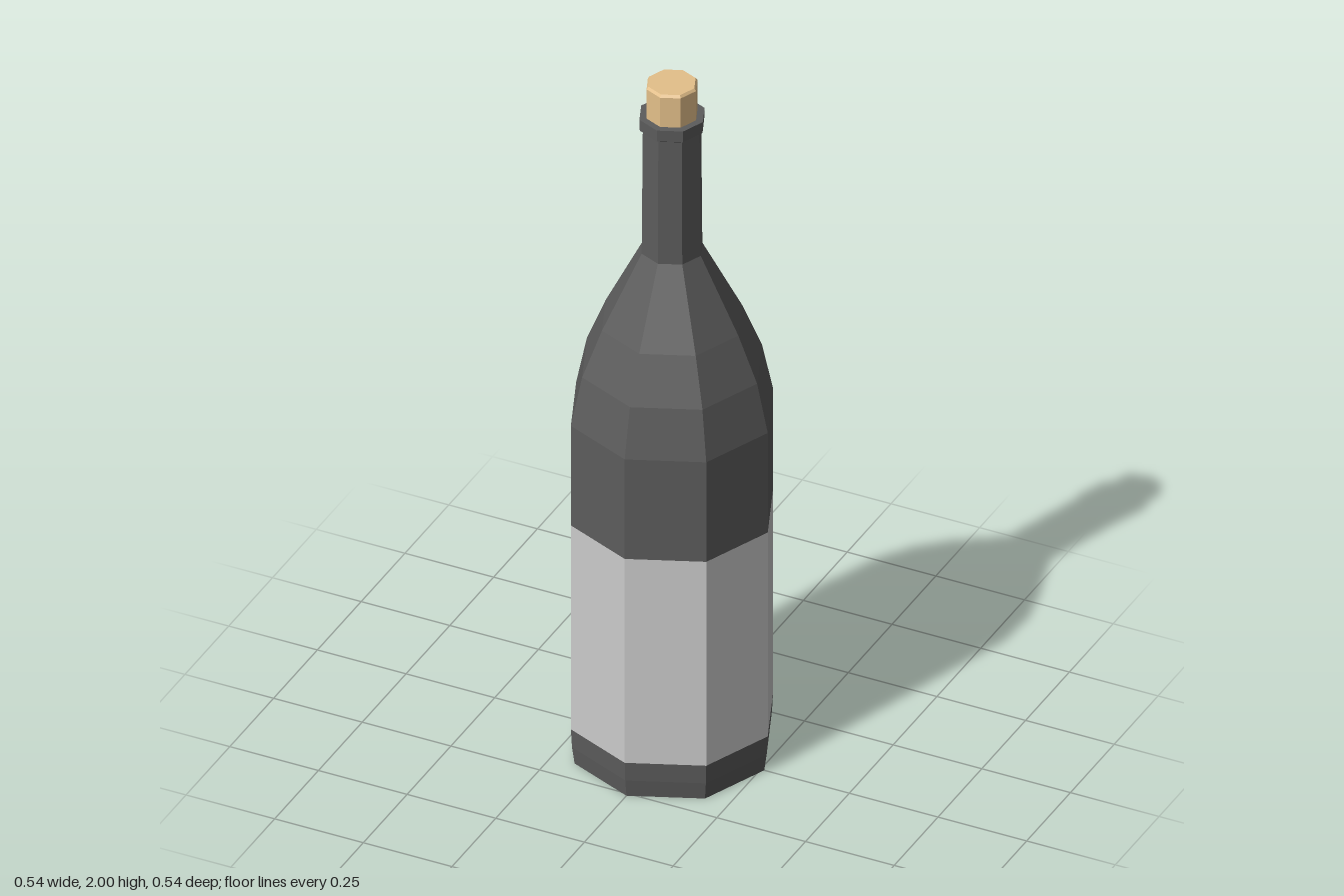
import * as THREE from 'three';

const SIDES = 8;
const LABEL_TOP = 0.72;

// Eight-sided turned section; profile runs bottom to top as [radius, height]
function turned(name, profile, color) {
  const points = profile.map(([r, y]) => new THREE.Vector2(r, y));
  const geometry = new THREE.LatheGeometry(points, SIDES);
  const material = new THREE.MeshStandardMaterial({ color, flatShading: true });
  const mesh = new THREE.Mesh(geometry, material);
  mesh.name = name;
  return mesh;
}

// The label's upper edge rises to a peak at the back corner
function raiseBackCorner(mesh) {
  const p = mesh.geometry.attributes.position;
  for (let i = 0; i < p.count; i++) {
    if (Math.abs(p.getY(i) - LABEL_TOP) < 0.001 && p.getZ(i) < -0.25) p.setY(i, 0.82);
  }
  mesh.geometry.computeVertexNormals();
  return mesh;
}

export function createModel() {
  const bottle = new THREE.Group();
  bottle.name = 'bottle';
  const glass = 0x5c5c5c;

  // Base with a hollow underside
  bottle.add(turned('base', [
    [0, 0.08], [0.14, 0.055], [0.21, 0.005], [0.225, 0], [0.26, 0], [0.267, 0.05], [0.27, 0.105],
  ], glass));

  // Label band, flush with the body
  bottle.add(raiseBackCorner(turned('label', [[0.27, 0.105], [0.27, LABEL_TOP]], 0xcccccc)));

  // Upper body, shoulder and neck
  bottle.add(raiseBackCorner(turned('shoulderAndNeck', [
    [0.27, LABEL_TOP], [0.27, 1.02], [0.24, 1.16], [0.187, 1.29], [0.081, 1.5], [0.078, 1.87],
  ], glass)));

  // Lip ring
  bottle.add(turned('lip', [
    [0.076, 1.865], [0.086, 1.872], [0.087, 1.905], [0.06, 1.905],
  ], glass));

  // Cork with a small bevel
  bottle.add(turned('cork', [
    [0.068, 1.89], [0.068, 1.993], [0.063, 2], [0, 2],
  ], 0xe4c08a));

  return bottle;
}
